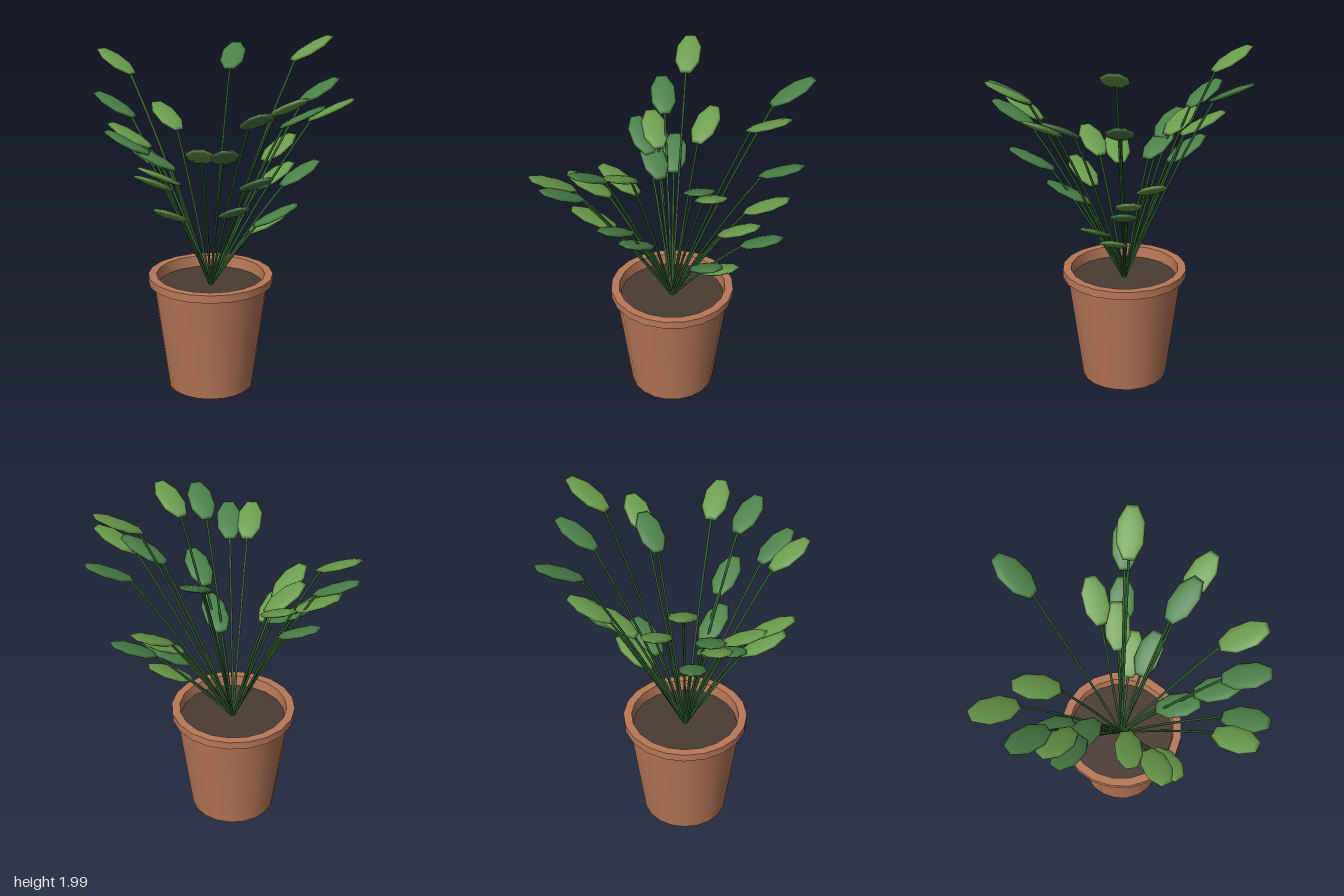
import * as THREE from 'three';
import { toCreasedNormals } from 'three/addons/utils/BufferGeometryUtils.js';

const mat = (color) => new THREE.MeshStandardMaterial({ color, roughness: 0.9 });

// Leaf centres [x, y, z], one list per shade of green
const LIGHT = [
  [-0.61, 1.83, -0.41], [-0.32, 1.52, -0.365], [0.33, 1.33, -0.37], [-0.52, 1.455, -0.14],
  [-0.34, 1.3, 0.18], [-0.36, 1.31, 0.355], [-0.275, 1.14, 0.375], [-0.11, 1.535, 0.67],
  [0.33, 1.74, 0.485], [0.58, 1.655, 0.125], [0.275, 0.96, -0.12], [0.3, 1.2, -0.22],
  [0.5, 1.93, -0.245],
];
const DARK = [
  [0.065, 1.82, -0.68], [-0.61, 1.61, -0.245], [-0.43, 1.32, -0.22], [-0.53, 1.43, -0.065],
  [-0.385, 1.34, -0.065], [0.01, 1.53, 0.67], [0.165, 1.69, 0.585], [0.17, 1.33, 0.45],
  [0.06, 1.125, 0.28], [0.43, 1.61, 0.105], [0.3, 1.02, -0.02], [0.55, 1.68, -0.3],
  [0.45, 1.2, -0.27],
];

const BASE = new THREE.Vector3(-0.067, 0.6, -0.008); // where all stems meet the soil
const TILT = 0.47; // upward slope of every leaf

// Flattened low-poly ellipsoid, its length along x
function leafGeometry() {
  const g = new THREE.SphereGeometry(1, 8, 6);
  g.rotateY(Math.PI / 8);
  g.scale(0.15, 0.018, 0.076);
  return g;
}

export function createModel() {
  const model = new THREE.Group();
  model.name = 'pottedPlant';

  // Terracotta pot: floor, tapered wall, rim and inner wall
  const profile = [
    [0, 0], [0.246, 0], [0.328, 0.63], [0.357, 0.63], [0.357, 0.675], [0.31, 0.675], [0.298, 0.57],
  ].map(([r, y]) => new THREE.Vector2(r, y));
  const pot = new THREE.Mesh(
    toCreasedNormals(new THREE.LatheGeometry(profile, 20), 0.6), mat(0xb87858));
  pot.material.side = THREE.DoubleSide;
  pot.name = 'pot';
  pot.position.set(BASE.x, 0, BASE.z);
  model.add(pot);

  // Soil surface
  const soil = new THREE.Mesh(new THREE.CircleGeometry(0.304, 20), mat(0x4a3c34));
  soil.name = 'soil';
  soil.rotation.x = -Math.PI / 2;
  soil.position.set(BASE.x, 0.61, BASE.z);
  model.add(soil);

  // Stems bow outward from the soil, each carrying one leaf that points away from the centre
  const leafGeo = leafGeometry();
  const stemMat = mat(0x2f5e2e);
  const addFronds = (centres, leafMat) => {
    for (const [x, y, z] of centres) {
      const centre = new THREE.Vector3(x, y, z);
      const heading = Math.atan2(-(z - BASE.z), x - BASE.x);
      const axis = new THREE.Vector3(
        Math.cos(heading) * Math.cos(TILT), Math.sin(TILT), -Math.sin(heading) * Math.cos(TILT));

      const leaf = new THREE.Mesh(leafGeo, leafMat);
      leaf.name = 'leaf';
      leaf.position.copy(centre);
      leaf.rotation.set(0, heading, TILT, 'YXZ');

      const end = centre.clone().addScaledVector(axis, -0.11);
      const bend = BASE.clone().lerp(end, 0.55);
      bend.y += (end.y - BASE.y) * 0.07;
      const path = new THREE.QuadraticBezierCurve3(BASE, bend, end);
      const stem = new THREE.Mesh(new THREE.TubeGeometry(path, 6, 0.007, 5), stemMat);
      stem.name = 'stem';

      const frond = new THREE.Group();
      frond.name = 'frond';
      frond.add(stem, leaf);
      model.add(frond);
    }
  };
  addFronds(LIGHT, mat(0x6a9c4c));
  addFronds(DARK, mat(0x4a8048));

  return model;
}
